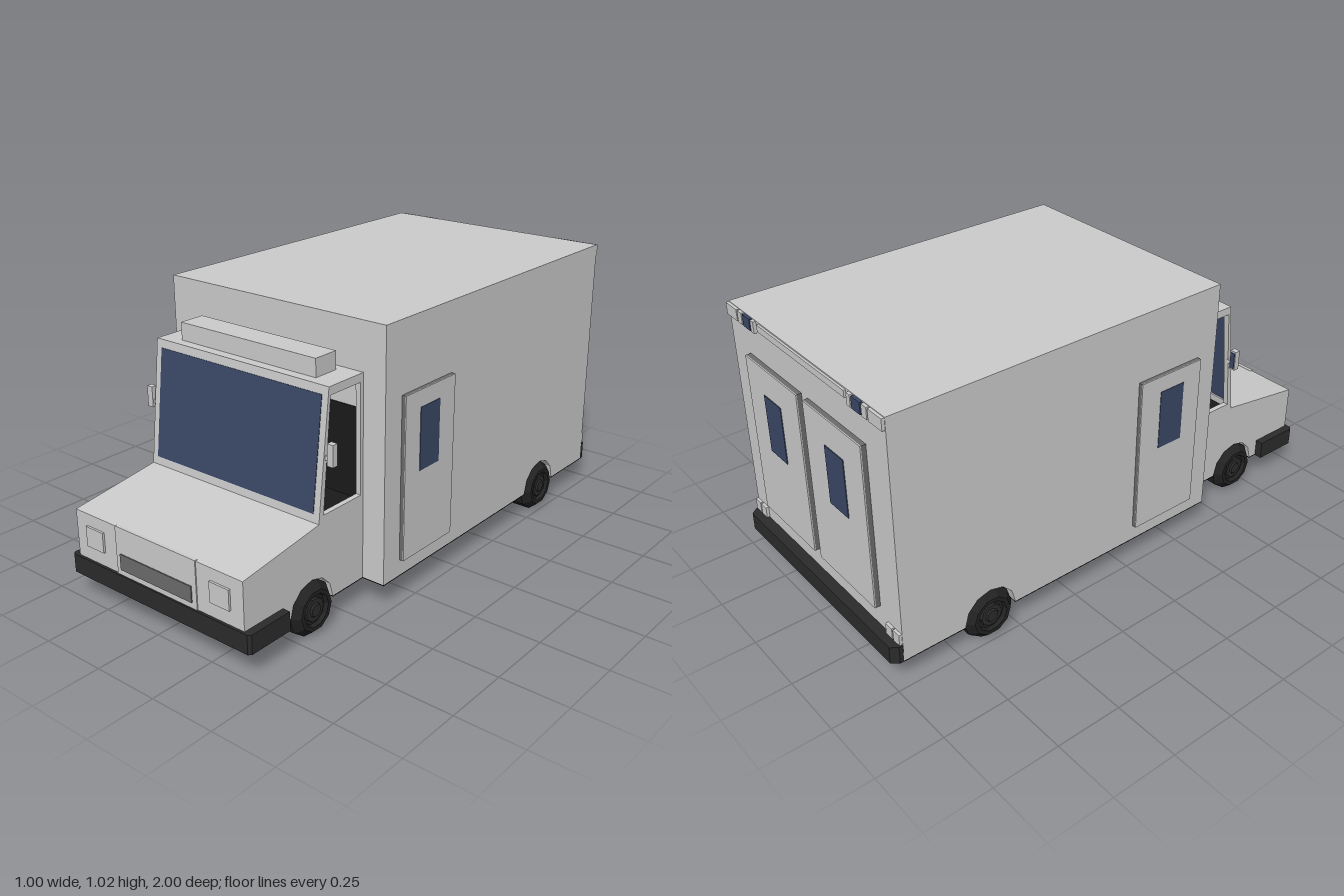
import * as THREE from 'three';

export function createModel() {
  const van = new THREE.Group();
  van.name = 'stepVan';
  const paint = (name, color) => {
    const m = new THREE.MeshStandardMaterial({ color });
    m.name = name;
    return m;
  };
  const body = paint('bodyGrey', 0xcacaca);
  const glass = paint('navyGlass', 0x3a4866);
  const trim = paint('bumperBlack', 0x2b2b2b);
  const seal = paint('darkGrey', 0x6b6b6b);
  const tyre = paint('tyreBlack', 0x222222);
  const under = paint('undersideBlack', 0x1a1a1a);

  const add = (name, geo, mat, parent = van) => {
    const m = new THREE.Mesh(geo, mat);
    m.name = name;
    parent.add(m);
    return m;
  };
  // box given by its limits
  const box = (name, mat, x0, x1, y0, y1, z0, z1) => {
    const m = add(name, new THREE.BoxGeometry(Math.abs(x1 - x0), y1 - y0, z1 - z0), mat);
    m.position.set((x0 + x1) / 2, (y0 + y1) / 2, (z0 + z1) / 2);
    return m;
  };
  const toShape = pts => new THREE.Shape(pts.map(p => new THREE.Vector2(...p)));
  const extrude = (shape, depth) =>
    new THREE.ExtrudeGeometry(shape, { depth, bevelEnabled: false });
  // side outline (z, y) extruded across x0..x1
  const side = (name, mat, pts, x0, x1, hole) => {
    const s = toShape(pts);
    if (hole) s.holes.push(new THREE.Path(hole.map(p => new THREE.Vector2(...p))));
    const [a, b] = [Math.min(x0, x1), Math.max(x0, x1)];
    return add(name, extrude(s, b - a).rotateY(-Math.PI / 2).translate(b, 0, 0), mat);
  };
  // floor plan (x, z) extruded down from a height
  const plan = (name, mat, pts, top, depth) =>
    add(name, extrude(toShape(pts), depth).rotateX(Math.PI / 2).translate(0, top, 0), mat);

  const FRONT = 0.675, REAR = -0.61, ARCH = 0.105;
  const arch = z => Array.from({ length: 7 }, (_, i) => {
    const a = Math.PI * (1 - i / 6);
    return [z + ARCH * Math.cos(a), 0.1 + ARCH * Math.sin(a)];
  });
  const cargoTop = [[0.41, 0.1], [0.41, 1.02], [-0.96, 1.02]];
  const hoodTop = [[0.99, 0.1], [0.99, 0.34], [0.635, 0.39], [0.41, 0.39]];

  // cargo body and hood cores
  side('cargoCore', body, [[-0.96, 0.1], ...cargoTop], -0.35, 0.35);
  side('hoodCore', body, [[0.41, 0.1], ...hoodTop], -0.275, 0.275);

  for (const s of [1, -1]) {
    // outer body sides with wheel arches
    side('cargoSide', body, [[-0.96, 0.1], ...arch(REAR), ...cargoTop], s * 0.35, s * 0.48);
    side('hoodSide', body, [[0.41, 0.1], ...arch(FRONT), ...hoodTop], s * 0.275, s * 0.39);
    // open cab side window frame
    side('cabWindowFrame', body,
      [[0.41, 0.39], [0.635, 0.39], [0.58, 0.845], [0.41, 0.845]], s * 0.37, s * 0.39,
      [[0.422, 0.415], [0.425, 0.815], [0.574, 0.815], [0.613, 0.415]]);

    // side door
    box('sideDoorSeal', seal, s * 0.48, s * 0.494, 0.16, 0.762, 0.04, 0.322);
    box('sideDoorPanel', body, s * 0.494, s * 0.497, 0.16, 0.762, 0.04, 0.322);
    box('sideDoorWindow', glass, s * 0.495, s * 0.499, 0.47, 0.70, 0.13, 0.24);

    // mirror
    box('mirrorArm', body, s * 0.385, s * 0.405, 0.605, 0.62, 0.592, 0.604);
    box('mirrorShell', body, s * 0.403, s * 0.428, 0.59, 0.667, 0.588, 0.61);
    box('mirrorGlass', glass, s * 0.406, s * 0.425, 0.596, 0.66, 0.585, 0.588);

    // headlight
    box('headlight', body, s * 0.25, s * 0.335, 0.22, 0.295, 0.985, 0.998);

    // rear door
    box('rearDoorSeal', seal, s * 0.02, s * 0.36, 0.25, 0.87, -0.977, -0.96);
    box('rearDoorPanel', body, s * 0.02, s * 0.36, 0.25, 0.87, -0.981, -0.977);
    box('rearDoorWindow', glass, s * 0.14, s * 0.25, 0.545, 0.765, -0.984, -0.98);

    // rear lamps
    box('upperCornerLamp', body, s * 0.405, s * 0.478, 0.975, 1.018, -0.971, -0.96);
    box('upperInnerLamp', body, s * 0.37, s * 0.398, 0.975, 1.018, -0.971, -0.96);
    box('upperBlueLamp', glass, s * 0.315, s * 0.362, 0.975, 1.018, -0.971, -0.96);
    box('upperEndLamp', body, s * 0.288, s * 0.308, 0.975, 1.018, -0.971, -0.96);
    box('lowerOuterLamp', body, s * 0.442, s * 0.478, 0.168, 0.21, -0.971, -0.96);
    box('lowerInnerLamp', body, s * 0.4, s * 0.436, 0.168, 0.21, -0.971, -0.96);
  }
  box('rearRoofRail', body, -0.27, 0.27, 0.99, 1.015, -0.968, -0.96);

  // cab roof, light bar and dark interior
  box('cabRoof', body, -0.37, 0.37, 0.815, 0.845, 0.41, 0.582);
  box('roofLightBar', body, -0.305, 0.305, 0.845, 0.91, 0.445, 0.545);
  box('cabFloor', under, -0.37, 0.37, 0.39, 0.394, 0.41, 0.62);
  box('cabBackPanel', under, -0.37, 0.37, 0.394, 0.72, 0.41, 0.414);

  // raked windscreen with its frame
  const screen = new THREE.Group();
  screen.name = 'windscreen';
  const len = Math.hypot(0.055, 0.455);
  const frame = toShape([[-0.39, 0], [0.39, 0], [0.39, len], [-0.39, len]]);
  const cut = [[-0.365, 0.03], [-0.365, 0.428], [0.365, 0.428], [0.365, 0.03]];
  frame.holes.push(new THREE.Path(cut.map(p => new THREE.Vector2(...p))));
  add('windscreenFrame', extrude(frame, 0.012).translate(0, 0, -0.01), body, screen);
  add('windscreenGlass', new THREE.BoxGeometry(0.73, 0.398, 0.008).translate(0, 0.229, 0), glass, screen);
  screen.position.set(0, 0.39, 0.635);
  screen.rotation.x = -Math.atan2(0.055, 0.455);
  van.add(screen);

  // grille
  box('grillePanel', body, -0.188, 0.188, 0.165, 0.343, 0.98, 0.994);
  box('grille', seal, -0.168, 0.168, 0.187, 0.246, 0.99, 0.998);

  // wraparound bumpers
  plan('frontBumper', trim, [[-0.42, 0.815], [-0.42, 0.99], [-0.41, 1], [0.41, 1], [0.42, 0.99],
    [0.42, 0.815], [0.39, 0.815], [0.39, 0.98], [-0.39, 0.98], [-0.39, 0.815]], 0.166, 0.07);
  plan('rearBumper', trim, [[-0.48, -0.958], [0.48, -0.958], [0.48, -0.975], [0.46, -1],
    [-0.46, -1], [-0.48, -0.975]], 0.165, 0.068);

  // underside with wheel cut-outs
  const edge = [
    [0.48, -0.96], [0.48, REAR - ARCH], [0.35, REAR - ARCH], [0.35, REAR + ARCH],
    [0.48, REAR + ARCH], [0.48, 0.41], [0.39, 0.41], [0.39, FRONT - ARCH],
    [0.275, FRONT - ARCH], [0.275, FRONT + ARCH], [0.39, FRONT + ARCH], [0.39, 0.99],
  ];
  const mirrored = edge.map(([x, z]) => [-x, z]).reverse();
  plan('underside', under, [...edge, ...mirrored], 0.1, 0.004);

  // faceted wheels with a stepped hub
  const lathe = pts => {
    const g = new THREE.LatheGeometry(pts.map(p => new THREE.Vector2(...p)), 10).toNonIndexed();
    g.computeVertexNormals();
    return g.rotateZ(-Math.PI / 2);
  };
  const tyreGeo = lathe([[0, -0.05], [0.06, -0.065], [0.075, -0.065], [0.1, -0.035],
    [0.1, 0.035], [0.075, 0.065], [0.06, 0.065], [0.055, 0.05], [0, 0.05]]);
  const hubGeo = lathe([[0.045, 0.045], [0.042, 0.058], [0.026, 0.058], [0.022, 0.064], [0, 0.064]]);
  for (const [label, x, z] of [['front', 0.345, FRONT], ['rear', 0.427, REAR]]) {
    for (const s of [1, -1]) {
      const wheel = new THREE.Group();
      wheel.name = label + 'Wheel';
      add('tyre', tyreGeo, tyre, wheel);
      add('hub', hubGeo, trim, wheel);
      wheel.position.set(s * x, 0.1, z);
      if (s < 0) wheel.rotation.y = Math.PI;
      van.add(wheel);
    }
  }
  return van;
}
